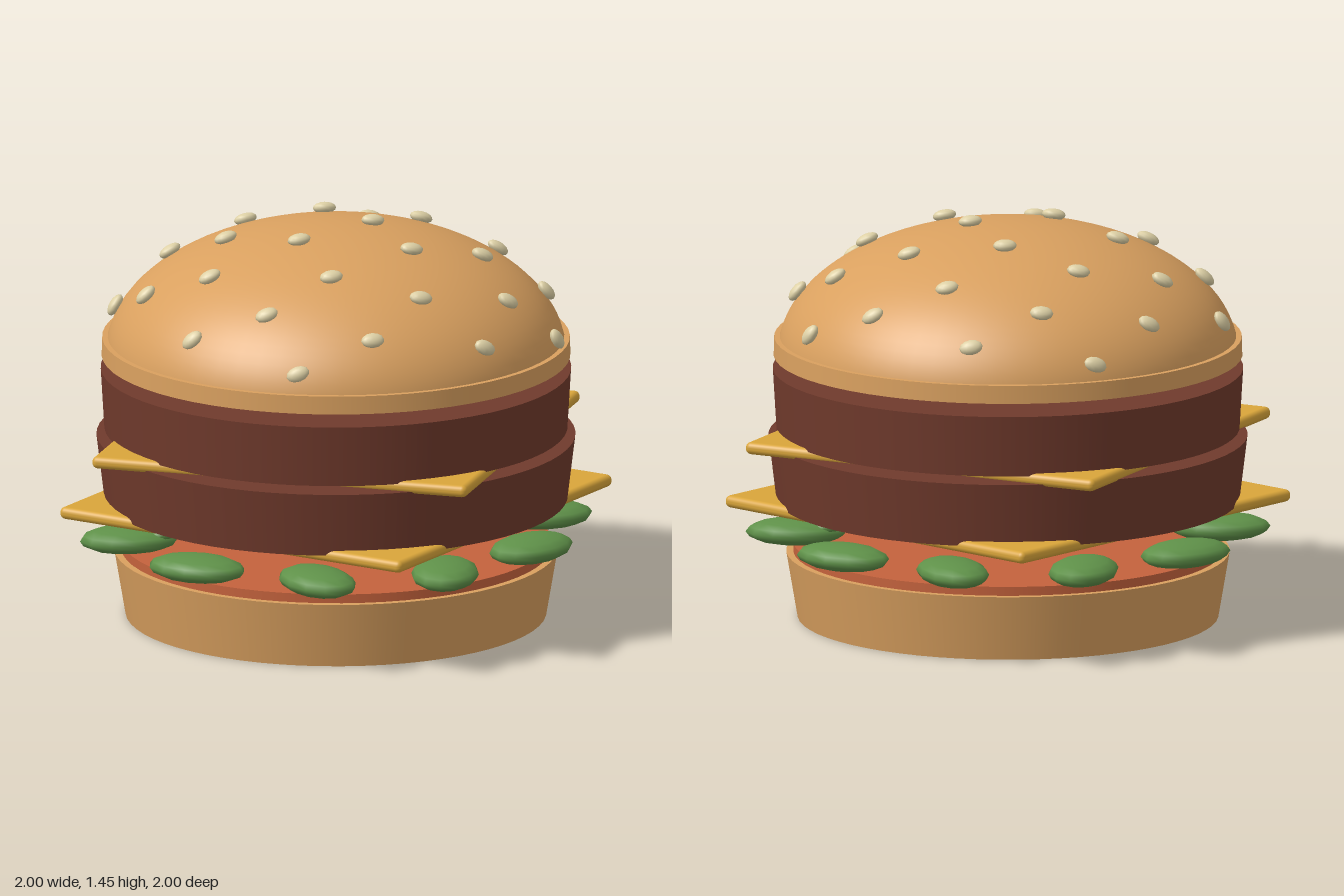
import * as THREE from 'three';
import { RoundedBoxGeometry } from 'three/addons/geometries/RoundedBoxGeometry.js';

const material = (name, color) => {
  const m = new THREE.MeshStandardMaterial({ color });
  m.name = name;
  return m;
};

export function createModel() {
  const model = new THREE.Group();
  model.name = 'burger';

  const bun = material('toasted bun', 0xd9a05f);
  const meat = material('grilled meat', 0x703a2c);
  const cheese = material('cheese yellow', 0xd9a53a);
  const tomato = material('tomato red', 0xc4623c);
  const green = material('pickle green', 0x5f9149);
  const seed = material('sesame cream', 0xdccfa4);

  const add = (name, geometry, mat, x = 0, y = 0, z = 0, parent = model) => {
    const mesh = new THREE.Mesh(geometry, mat);
    mesh.name = name;
    mesh.position.set(x, y, z);
    parent.add(mesh);
    return mesh;
  };
  const group = (name) => {
    const g = new THREE.Group();
    g.name = name;
    model.add(g);
    return g;
  };
  // Round layer from y0 to y1
  const layer = (name, mat, rBottom, rTop, y0, y1) =>
    add(name, new THREE.CylinderGeometry(rTop, rBottom, y1 - y0, 64), mat, 0, (y0 + y1) / 2, 0);

  layer('bottomBun', bun, 0.745, 0.785, 0, 0.235);
  layer('sauce', tomato, 0.76, 0.76, 0.225, 0.267);

  // Ring of ten pickles
  const pickles = group('pickles');
  const pickleShape = new THREE.SphereGeometry(1, 12, 8);
  for (let i = 0; i < 10; i++) {
    const a = (i / 10) * Math.PI * 2;
    const p = add('pickle', pickleShape, green, 0.75 * Math.cos(a), 0.313, 0.75 * Math.sin(a), pickles);
    p.scale.set(0.18, 0.048, 0.12);
    p.rotation.y = a;
  }
  // Folded leaves tilted up under the cheese on both sides
  for (const side of [1, -1]) {
    const leaf = add('foldedLeaf', pickleShape, green, side * 0.63, 0.345, 0, pickles);
    leaf.scale.set(0.16, 0.04, 0.09);
    leaf.rotation.z = -side * 0.4;
  }

  // Tomato slices
  const slices = group('tomatoSlices');
  for (const [x, z] of [[-0.32, 0.05], [0, -0.05], [0.32, 0.05]]) {
    add('tomatoSlice', new THREE.CylinderGeometry(0.2, 0.2, 0.055, 32), tomato, x, 0.373, z, slices);
  }

  // Cheese and patties
  const cheeseSlice = (name, size, y, turn) => {
    const m = add(name, new RoundedBoxGeometry(size, 0.044, size, 3, 0.02), cheese, 0, y, 0);
    m.rotation.y = turn;
  };
  cheeseSlice('lowerCheese', 1.426, 0.422, Math.PI / 4);
  layer('lowerPatty', meat, 0.82, 0.848, 0.425, 0.655);
  cheeseSlice('upperCheese', 1.388, 0.668, Math.PI / 3);
  layer('upperPatty', meat, 0.82, 0.833, 0.68, 0.898);

  // Top bun: rim and half-ellipsoid dome
  layer('topBunRim', bun, 0.83, 0.828, 0.945, 1.01);
  const R = 0.815, H = 0.47, baseY = 0.95;
  const dome = add('topBunDome', new THREE.SphereGeometry(1, 64, 24, 0, Math.PI * 2, 0, Math.PI / 2), bun, 0, baseY, 0);
  dome.scale.set(R, H, R);

  // Sesame seeds in a golden-angle spiral, lying on the dome
  const seeds = group('sesameSeeds');
  const seedShape = new THREE.SphereGeometry(1, 12, 8);
  const up = new THREE.Vector3(0, 1, 0);
  const count = 30;
  for (let i = 0; i < count; i++) {
    const c = 1 - (0.8 * (i + 0.5)) / count;
    const s = Math.sqrt(1 - c * c);
    const a = i * Math.PI * (3 - Math.sqrt(5));
    const normal = new THREE.Vector3((s * Math.cos(a)) / R, c / H, (s * Math.sin(a)) / R).normalize();
    const m = add('sesameSeed', seedShape, seed, R * s * Math.cos(a), baseY + H * c, R * s * Math.sin(a), seeds);
    m.position.addScaledVector(normal, 0.014);
    m.scale.set(0.042, 0.021, 0.028);
    m.quaternion.setFromUnitVectors(up, normal);
  }
  return model;
}
